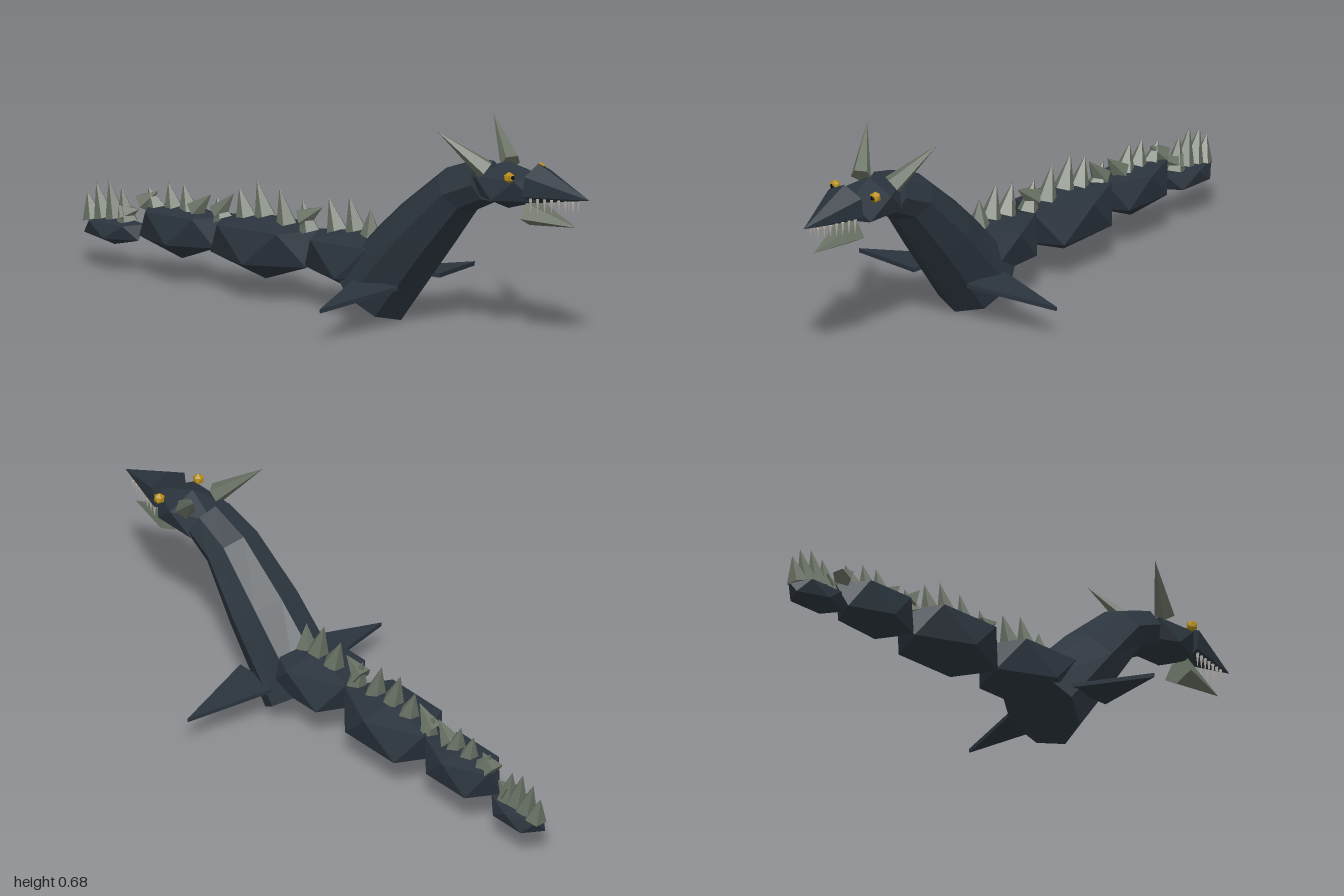
import * as THREE from 'three';

const mat = (name, color, opts = {}) => {
  const m = new THREE.MeshStandardMaterial({ color, flatShading: true, ...opts });
  m.name = name;
  return m;
};

export function createModel() {
  const slate = mat('dark slate', 0x2b343d);
  const horn = mat('grey green horn', 0x687063);
  const gold = mat('gold', 0xb48c14);
  const black = mat('black', 0x0c0c0c);
  const ivory = mat('tooth ivory', 0xb4aea8);
  const root = new THREE.Group();
  root.name = 'seaSerpent';

  const add = (name, geo, material, parent = root) => {
    const m = new THREE.Mesh(geo, material);
    m.name = name;
    parent.add(m);
    return m;
  };

  // Cone from a base centre to a tip; flat squashes it across its local z
  const spike = (name, base, tip, r, sides, material, flat = 1) => {
    const a = new THREE.Vector3(...base), d = new THREE.Vector3(...tip).sub(a);
    const len = d.length();
    const geo = new THREE.ConeGeometry(r, len, sides).translate(0, len / 2, 0).scale(1, 1, flat);
    const m = add(name, geo, material);
    m.position.copy(a);
    m.quaternion.setFromUnitVectors(new THREE.Vector3(0, 1, 0), d.normalize());
    return m;
  };

  // Faceted ball standing on a vertex; topScale lowers its upper pole
  const ball = (name, [x, y, z], [rx, ry, rz], topScale, material) => {
    const geo = new THREE.IcosahedronGeometry(1, 0).rotateZ(-Math.atan(2 / (1 + Math.sqrt(5))));
    const p = geo.attributes.position;
    for (let i = 0; i < p.count; i++) if (p.getY(i) > 0.9) p.setY(i, topScale);
    geo.scale(rx, ry, rz);
    geo.computeVertexNormals();
    add(name, geo, material).position.set(x, y, z);
  };

  // Closed tube through octagonal rings [topZ, topY, bottomZ, bottomY, halfWidth]
  const loft = (rings, n) => {
    const pos = [], idx = [];
    for (const [tz, ty, bz, by, rx] of rings)
      for (let j = 0; j < n; j++) {
        const a = (j / n) * Math.PI * 2, c = Math.cos(a) / 2;
        pos.push(rx * Math.sin(a), (ty + by) / 2 + c * (ty - by), (tz + bz) / 2 + c * (tz - bz));
      }
    const last = (rings.length - 1) * n;
    for (let i = 0; i < last; i += n)
      for (let j = 0; j < n; j++) {
        const k = (j + 1) % n;
        idx.push(i + j, i + n + j, i + k, i + k, i + n + j, i + n + k);
      }
    for (let j = 1; j < n - 1; j++) idx.push(0, j, j + 1, last, last + j + 1, last + j);
    const g = new THREE.BufferGeometry();
    g.setAttribute('position', new THREE.Float32BufferAttribute(pos, 3));
    g.setIndex(idx);
    g.computeVertexNormals();
    return g;
  };

  // Neck
  add('neck', loft([
    [0.03, 0.17, 0.25, 0.003, 0.135],
    [0.25, 0.38, 0.42, 0.235, 0.125],
    [0.43, 0.525, 0.54, 0.4, 0.1],
    [0.565, 0.575, 0.62, 0.44, 0.088],
  ], 8), slate);

  // Body segments, front to tail
  ball('bodySegment1', [0, 0.19, 0.08], [0.143, 0.12, 0.213], 0.68, slate);
  ball('bodySegment2', [0, 0.185, -0.285], [0.14, 0.123, 0.223], 0.68, slate);
  ball('bodySegment3', [0, 0.185, -0.615], [0.1, 0.105, 0.175], 0.62, slate);
  ball('tailSegment', [0, 0.14, -0.882], [0.067, 0.052, 0.126], 0.65, slate);

  // Back spikes: base z, base y, tip z, tip y
  [
    [0.13, 0.26, 0.13, 0.35], [0.075, 0.27, 0.045, 0.38], [0, 0.26, -0.035, 0.36],
    [-0.135, 0.28, -0.06, 0.325], [-0.11, 0.24, -0.14, 0.34],
    [-0.2, 0.25, -0.23, 0.365], [-0.285, 0.265, -0.32, 0.375], [-0.36, 0.25, -0.39, 0.345],
    [-0.47, 0.25, -0.41, 0.32], [-0.45, 0.23, -0.48, 0.3],
    [-0.56, 0.245, -0.5, 0.305], [-0.585, 0.235, -0.61, 0.325], [-0.645, 0.23, -0.67, 0.32],
    [-0.71, 0.22, -0.75, 0.295], [-0.765, 0.24, -0.71, 0.285],
    [-0.84, 0.195, -0.785, 0.215], [-0.83, 0.17, -0.855, 0.28], [-0.875, 0.175, -0.905, 0.295],
    [-0.92, 0.17, -0.955, 0.28], [-0.965, 0.16, -0.99, 0.245],
  ].forEach(([bz, by, tz, ty], i) =>
    spike('backSpike' + (i + 1), [0, by, bz], [0, ty, tz], 0.036, 5, horn));

  // Skull, snout and lower jaw
  ball('skull', [0, 0.505, 0.675], [0.106, 0.076, 0.15], 1, slate);
  spike('snout', [0, 0.525, 0.785], [0, 0.498, 0.995], 0.078, 6, slate, 0.85);
  spike('lowerJaw', [0, 0.43, 0.765], [0, 0.402, 0.945], 0.06, 5, horn, 0.75);

  for (const s of [1, -1]) {
    const side = s > 0 ? 'left' : 'right';

    // Horn and eye
    spike(side + 'Horn', [s * 0.065, 0.56, 0.635], [s * 0.148, 0.682, 0.505], 0.034, 5, horn);
    ball(side + 'Eye', [s * 0.083, 0.553, 0.74], [0.019, 0.019, 0.019], 1, gold);
    ball(side + 'Pupil', [s * 0.083, 0.553, 0.751], [0.01, 0.01, 0.01], 1, black);

    // Upper teeth along the snout edge
    for (let i = 0; i < 7; i++) {
      const t = i / 6, x = s * (0.05 - 0.035 * t), z = 0.8 + 0.14 * t;
      spike(side + 'Tooth' + (i + 1), [x, 0.488, z], [x, 0.437 + 0.012 * t, z], 0.006, 5, ivory);
    }

    // Fin: thin triangle sloping slightly down
    const shape = new THREE.Shape([[0, -0.086], [0.301, 0], [0, 0.086]].map(p => new THREE.Vector2(...p)));
    const geo = new THREE.ExtrudeGeometry(shape, { depth: 0.014, bevelEnabled: false })
      .rotateX(Math.PI / 2).rotateZ(-0.1).translate(0.11, 0.144, 0);
    const fin = add(side + 'Fin', geo, slate);
    fin.position.z = 0.235;
    if (s < 0) fin.rotation.y = Math.PI;
  }
  return root;
}
